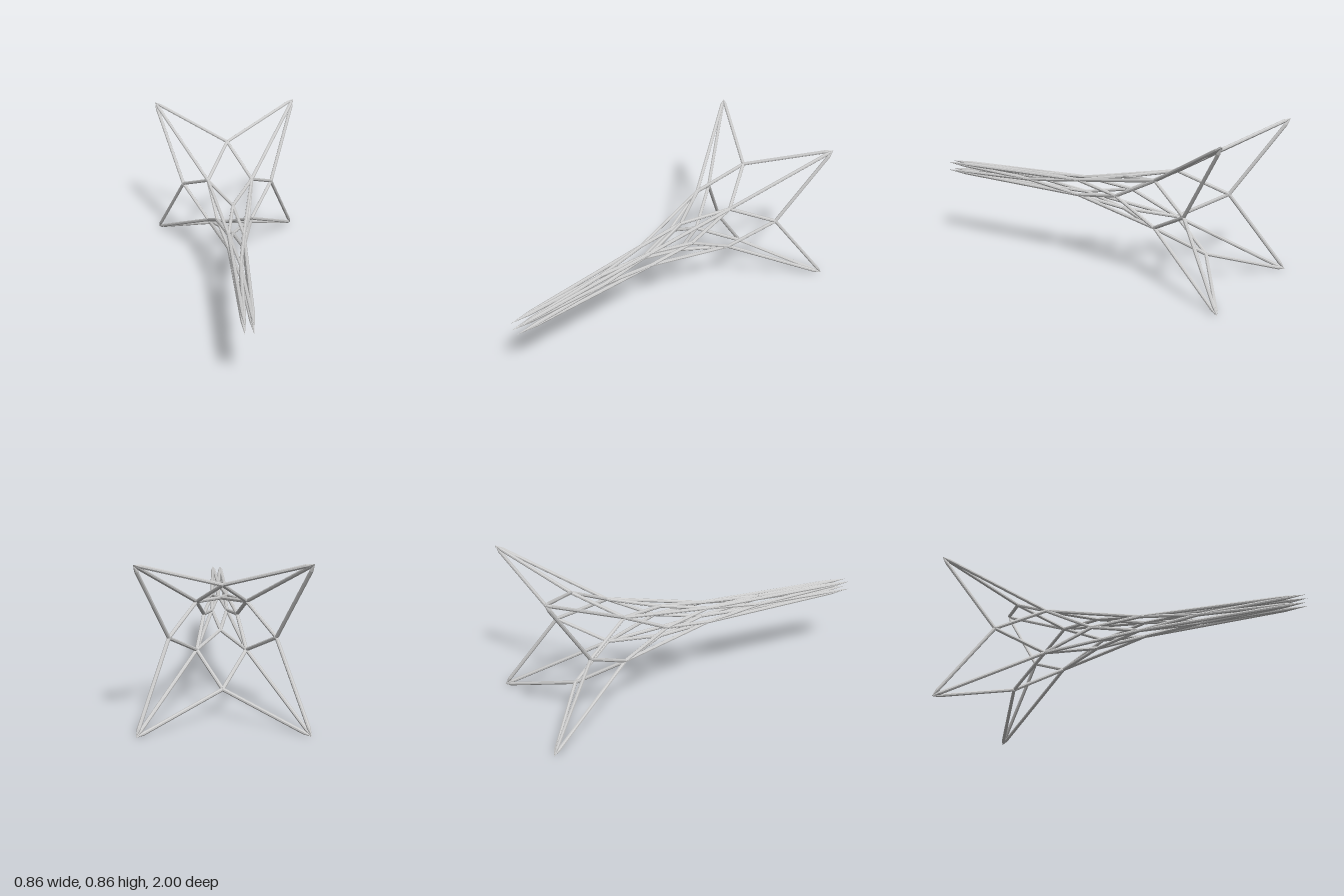
import * as THREE from 'three';

export function createModel() {
  const group = new THREE.Group();
  const steel = new THREE.MeshStandardMaterial({ color: 0xcccccc, flatShading: true });
  steel.name = 'light grey steel';

  const CY = 0.431, R = 0.01, UP = new THREE.Vector3(0, 1, 0);

  // Rings of four joints from back to front: diagonal and axial in turn.
  // tip is the length over which bars are sharpened at that ring.
  const rings = [
    { r: 0.606, z: -1, tip: 0.045 },
    { r: 0.27, z: -0.722, tip: 0.002 },
    { r: 0.184, z: -0.475, tip: 0.002 },
    { r: 0.09, z: -0.21, tip: 0.002 },
    { r: 0.06, z: 0.06, tip: 0.001 },
    { r: 0.035, z: 0.4, tip: 0.001 },
    { r: 0.033, z: 0.998, tip: 0.13 },
  ];
  const joint = (ring, k) => {
    const a = k * Math.PI / 2 + (ring % 2 ? 0 : Math.PI / 4);
    const { r, z } = rings[ring];
    return new THREE.Vector3(r * Math.cos(a), CY + r * Math.sin(a), z);
  };

  // Round bar from joint k of ring i to joint n of ring j
  function bar(name, i, k, j, n) {
    const a = joint(i, k), b = joint(j, n), L = a.distanceTo(b);
    const profile = [[0, 0], [R, rings[i].tip], [R, L - rings[j].tip], [0, L]]
      .map(([x, y]) => new THREE.Vector2(x, y));
    const mesh = new THREE.Mesh(new THREE.LatheGeometry(profile, 8), steel);
    mesh.name = name;
    mesh.position.copy(a);
    mesh.quaternion.setFromUnitVectors(UP, b.sub(a).normalize());
    group.add(mesh);
  }

  for (let k = 0; k < 4; k++) {
    for (let i = 0; i < 6; i++) {
      // Two lattice bars from each joint to its neighbours on the next ring
      const neighbours = i % 2 ? [k, k + 3] : [k, k + 1];
      for (const n of neighbours) bar('latticeBar', i, k, i + 1, n);
      // Long bars joining the diagonal rings
      if (i % 2 === 0) bar('longBar', i, k, i + 2, k);
    }
  }
  return group;
}
